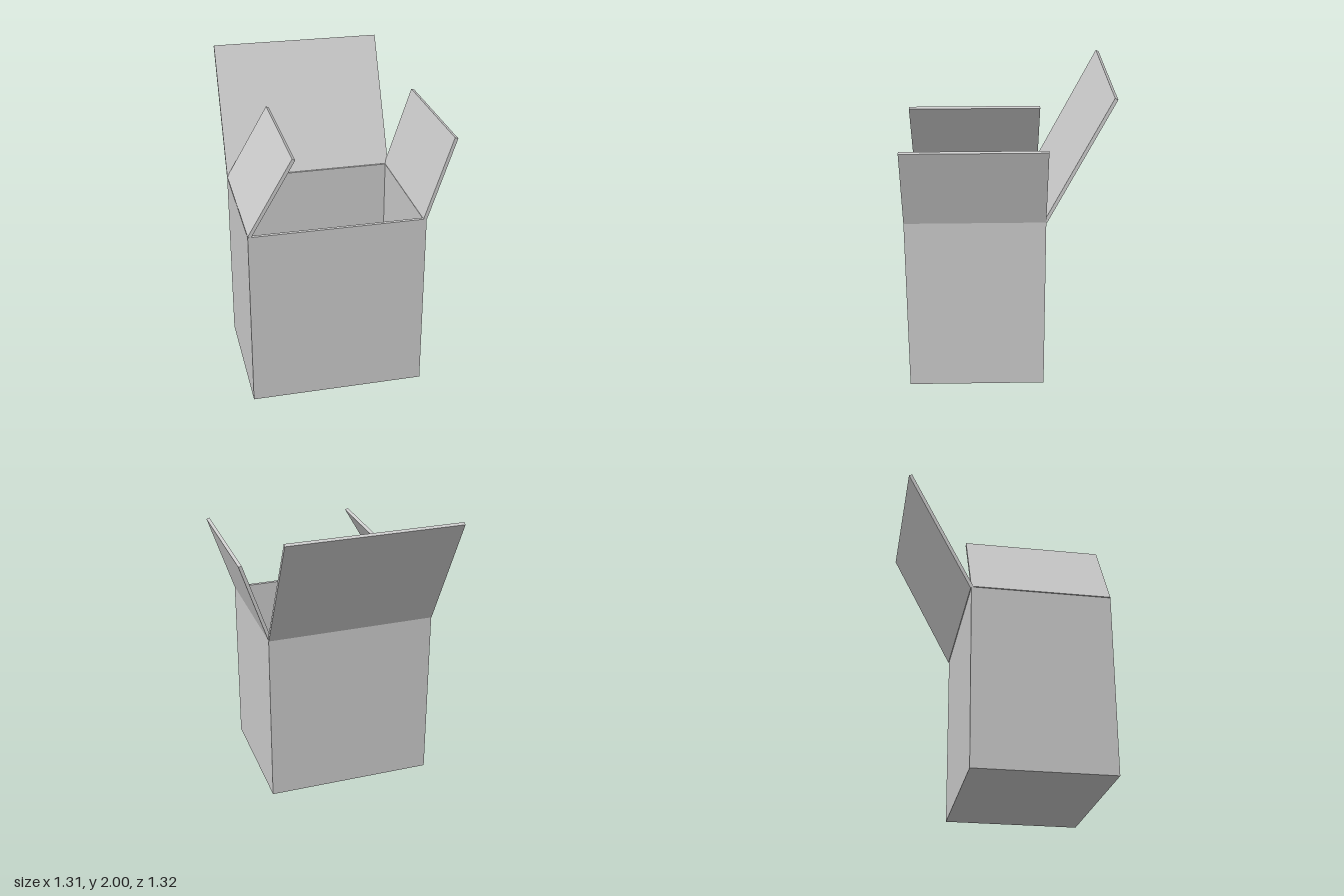
import * as THREE from 'three';

const X0 = -0.655, X1 = 0.475, Z0 = -0.24, Z1 = 0.66, H = 1.195, T = 0.022;
const W = X1 - X0, D = Z1 - Z0, CX = (X0 + X1) / 2, CZ = (Z0 + Z1) / 2;

export function createModel() {
  const box = new THREE.Group();
  box.name = 'openCarton';
  const material = new THREE.MeshStandardMaterial({ color: 0xcccccc, flatShading: true });

  function panel(name, w, h, d, x, y, z, parent = box) {
    const mesh = new THREE.Mesh(new THREE.BoxGeometry(w, h, d), material);
    mesh.name = name;
    mesh.position.set(x, y, z);
    parent.add(mesh);
    return mesh;
  }

  // Flap standing on a hinge line, tilted about the hinge
  function flap(name, w, length, d, hinge, axis, degrees) {
    const pivot = new THREE.Group();
    pivot.name = name + 'Hinge';
    pivot.position.set(...hinge);
    pivot.rotation[axis] = THREE.MathUtils.degToRad(degrees);
    panel(name, w, length, d, 0, length / 2, 0, pivot);
    box.add(pivot);
  }

  // Floor and four walls
  panel('floor', W, T, D, CX, T / 2, CZ);
  const wallH = H - T, wallY = T + wallH / 2;
  panel('frontWall', W, wallH, T, CX, wallY, Z1 - T / 2);
  panel('backWall', W, wallH, T, CX, wallY, Z0 + T / 2);
  panel('rightWall', T, wallH, D - 2 * T, X0 + T / 2, wallY, CZ);
  panel('leftWall', T, wallH, D - 2 * T, X1 - T / 2, wallY, CZ);

  // Open flaps: long one at the back, short ones at the sides
  flap('backFlap', W, 0.905, T, [CX, 1.192, -0.235], 'x', -27.3);
  flap('rightFlap', T, 0.56, D, [-0.645, 1.195, CZ], 'z', -30);
  flap('leftFlap', T, 0.56, D, [0.465, 1.193, CZ], 'z', -18.4);

  return box;
}
